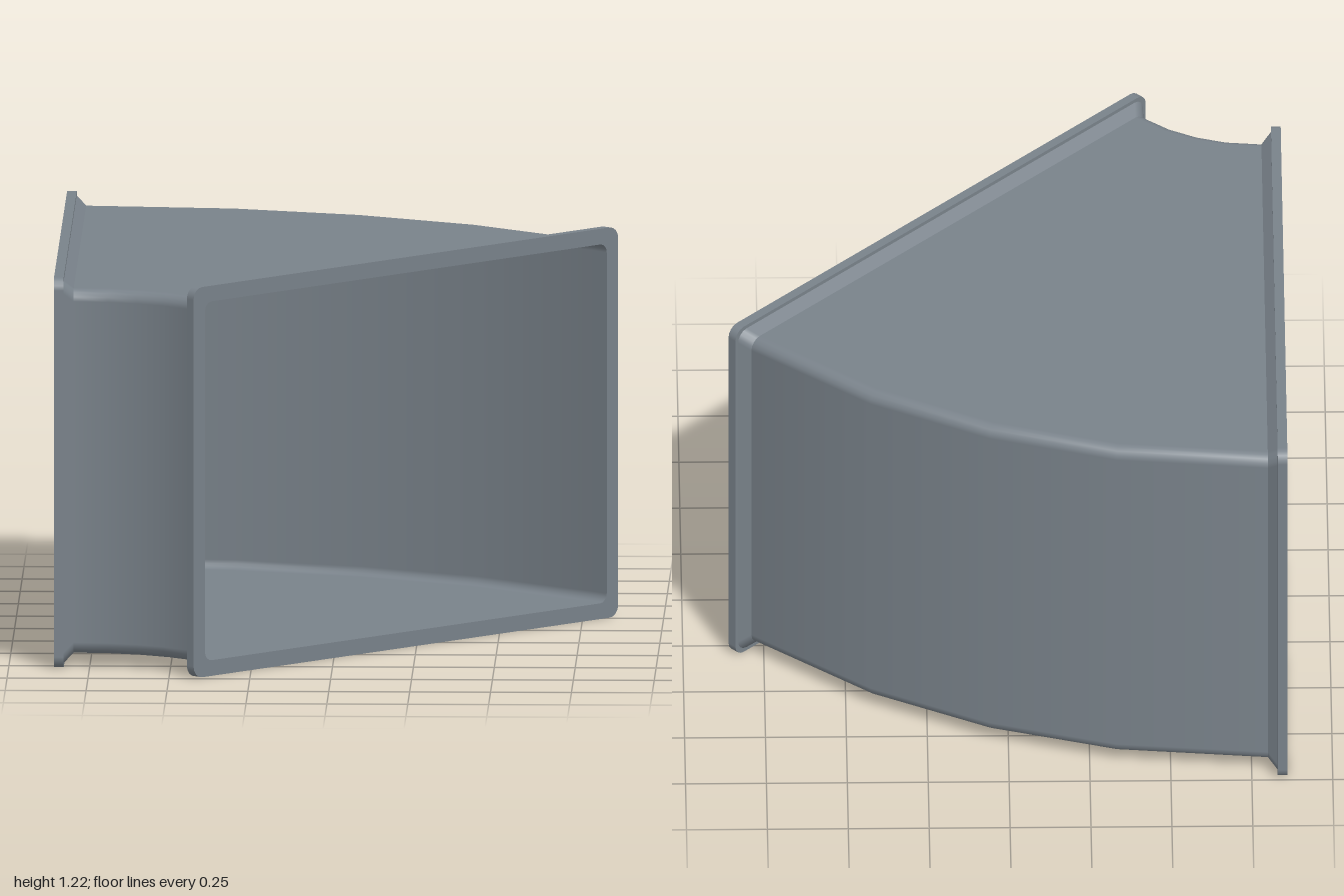
import * as THREE from 'three';

const PIVOT = new THREE.Vector3(-0.8, 0.61, 1.286); // vertical bend axis
const MID_RADIUS = 1.379;                            // bend radius of the duct centre
const HALF_W = 0.867, HALF_H = 0.57;                 // outside of the duct wall
const WALL = 0.009, CORNER = 0.037, CORNER_STEPS = 4;
const END = Math.PI / 4;
const ANGLES = [0, 12, 22.5, 33, 45].map(THREE.MathUtils.degToRad);

const material = new THREE.MeshStandardMaterial({ color: 0x79828a, side: THREE.DoubleSide });

// Rounded rectangle grown by "grow": points with their outward normals
function section(grow) {
  const points = [];
  const r = grow < 0 ? CORNER + grow : CORNER;
  for (let q = 0; q < 4; q++) {
    const sx = q === 0 || q === 3 ? 1 : -1, sy = q < 2 ? 1 : -1;
    for (let i = 0; i <= CORNER_STEPS; i++) {
      const a = (q + i / CORNER_STEPS) * Math.PI / 2;
      const nu = Math.cos(a), nv = Math.sin(a);
      points.push({
        u: sx * (HALF_W + grow - r) + r * nu,
        v: sy * (HALF_H + grow - r) + r * nv,
        nu, nv,
      });
    }
  }
  return points;
}

// Joins sections placed at stations: t = bend angle, s = straight offset, grow = size change
function loft(name, stations) {
  const position = [], normal = [];
  const frame = t => ({
    out: new THREE.Vector3(Math.sin(t), 0, -Math.cos(t)),
    along: new THREE.Vector3(Math.cos(t), 0, Math.sin(t)),
  });
  for (let k = 0; k < stations.length - 1; k++) {
    const pair = [stations[k], stations[k + 1]];
    const [A, B] = pair;
    const advance = B.t - A.t + B.s - A.s, rise = B.grow - A.grow;
    const rings = pair.map(({ t, s, grow }) => {
      const { out, along } = frame(t);
      return section(grow).map(p => ({
        p: PIVOT.clone().addScaledVector(out, MID_RADIUS + p.u)
          .addScaledVector(along, s).add(new THREE.Vector3(0, p.v, 0)),
        n: out.clone().multiplyScalar(p.nu).add(new THREE.Vector3(0, p.nv, 0))
          .multiplyScalar(advance).addScaledVector(along, -rise).normalize(),
      }));
    });
    const count = rings[0].length;
    for (let i = 0; i < count; i++) {
      const j = (i + 1) % count;
      const a = rings[0][i], b = rings[0][j], c = rings[1][j], d = rings[1][i];
      for (const vertex of [a, b, c, a, c, d]) {
        position.push(...vertex.p.toArray());
        normal.push(...vertex.n.toArray());
      }
    }
  }
  const geometry = new THREE.BufferGeometry();
  geometry.setAttribute('position', new THREE.Float32BufferAttribute(position, 3));
  geometry.setAttribute('normal', new THREE.Float32BufferAttribute(normal, 3));
  const mesh = new THREE.Mesh(geometry, material);
  mesh.name = name;
  return mesh;
}

// Flange cross-section [s, grow]: bore, end face, rim, back step, sloped collar
const FLANGE = [[0, -WALL], [-0.06, -WALL], [-0.06, 0.04], [-0.03, 0.04], [-0.03, 0.028], [0, 0]];

export function createModel() {
  const group = new THREE.Group();
  group.name = 'ductElbow';

  // Curved duct walls
  group.add(loft('outerWall', ANGLES.map(t => ({ t, s: 0, grow: 0 }))));
  group.add(loft('innerWall', [...ANGLES].reverse().map(t => ({ t, s: 0, grow: -WALL }))));

  // Connecting flanges, the second one mirrored
  group.add(loft('inletFlange', FLANGE.map(([s, grow]) => ({ t: 0, s, grow }))));
  group.add(loft('outletFlange', [...FLANGE].reverse().map(([s, grow]) => ({ t: END, s: -s, grow }))));

  return group;
}
